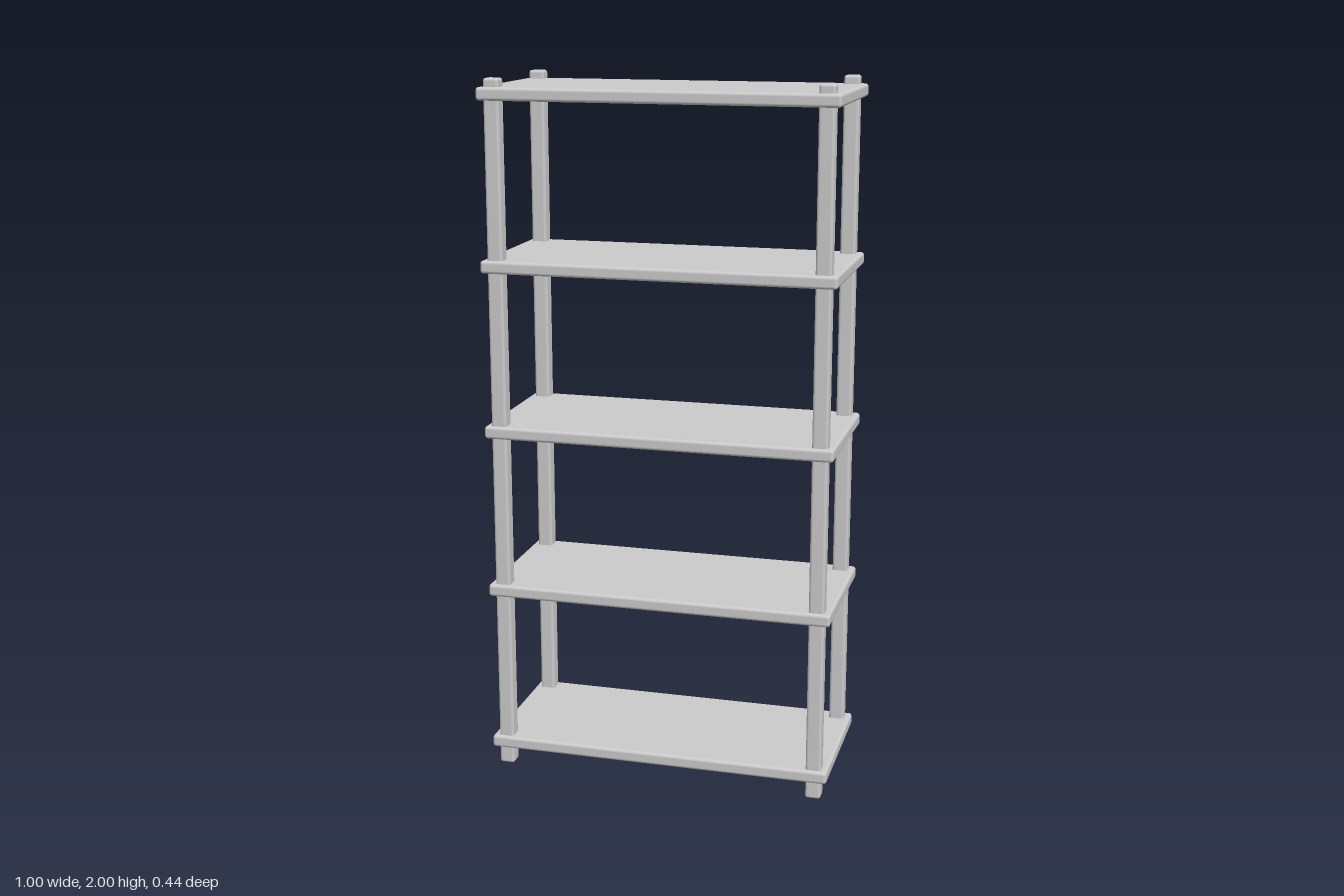
import * as THREE from 'three';
import { RoundedBoxGeometry } from 'three/addons/geometries/RoundedBoxGeometry.js';

export function createModel() {
  const group = new THREE.Group();
  const material = new THREE.MeshStandardMaterial({ color: 0xcccccc });

  const add = (name, geometry, x, y, z) => {
    const mesh = new THREE.Mesh(geometry, material);
    mesh.name = name;
    mesh.position.set(x, y, z);
    group.add(mesh);
  };

  // Four square posts with softened edges, running through every shelf
  const post = new RoundedBoxGeometry(0.044, 2, 0.044, 3, 0.008);
  for (const x of [-0.46, 0.46]) {
    for (const z of [-0.187, 0.187]) {
      add(`${z > 0 ? 'front' : 'back'}${x > 0 ? 'Left' : 'Right'}Post`, post, x, 1, z);
    }
  }

  // Five evenly spaced shelf boards with rounded edges
  const board = new RoundedBoxGeometry(1, 0.036, 0.44, 3, 0.009);
  for (let i = 0; i < 5; i++) {
    add(`shelf${i + 1}`, board, 0, 0.07 + i * 0.472, 0);
  }

  return group;
}
